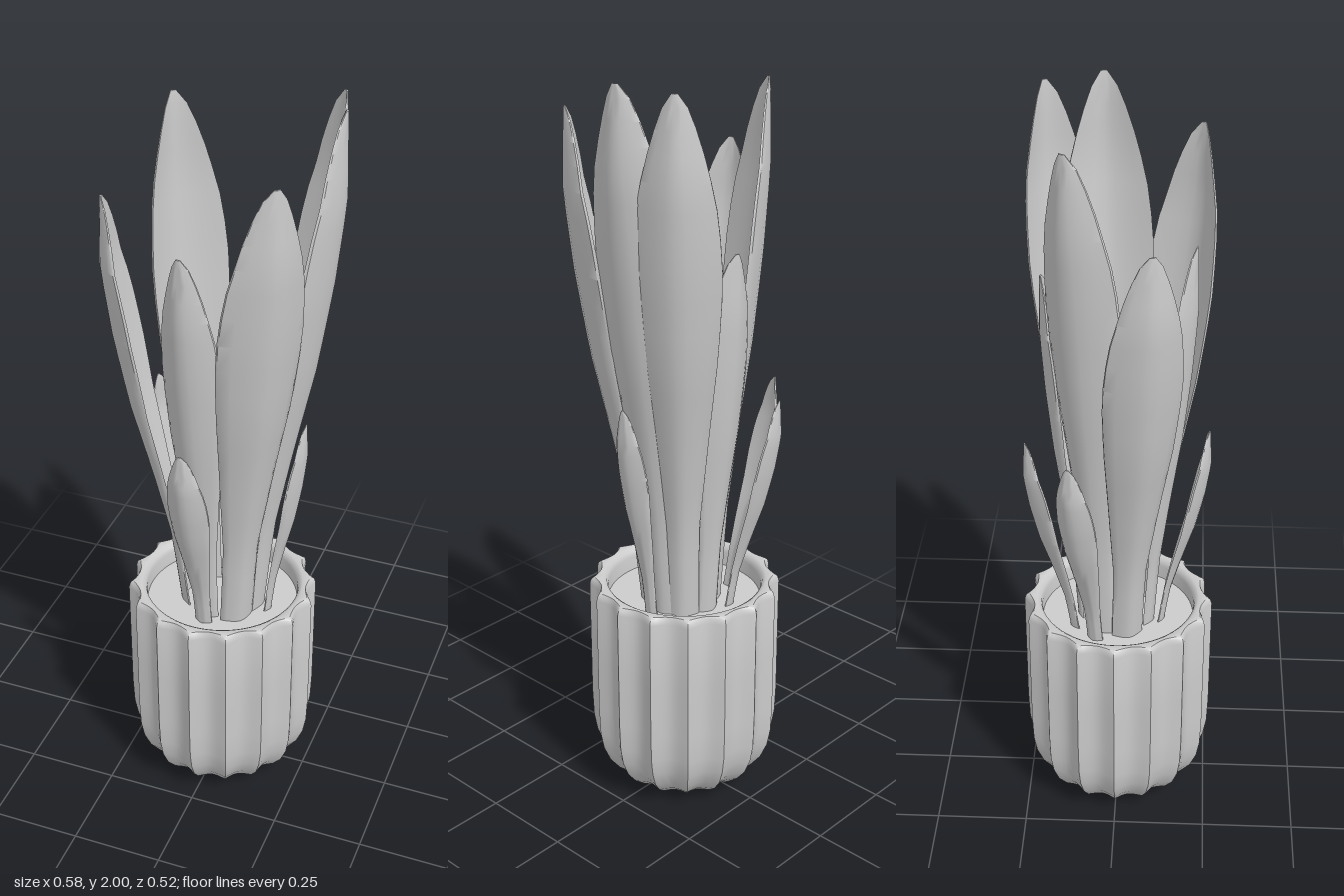
import * as THREE from 'three';
import { toCreasedNormals } from 'three/addons/utils/BufferGeometryUtils.js';

const SOIL = 0.55;
const FLUTES = 16;
const grey = new THREE.MeshStandardMaterial({ color: 0xcccccc });

// Linear lookup in a list of [t, value] pairs
function sample(table, t) {
  for (let i = 1; i < table.length; i++) {
    const [t0, a] = table[i - 1], [t1, b] = table[i];
    if (t <= t1) return a + (b - a) * (t - t0) / (t1 - t0);
  }
  return table[table.length - 1][1];
}

// Blade outline: relative width and relative outward lean along the height
const WIDTH = [[0, 0.42], [0.2, 0.44], [0.4, 0.7], [0.55, 0.91], [0.65, 0.99], [0.72, 1], [0.8, 0.91], [0.88, 0.7], [0.94, 0.46], [0.98, 0.26], [1, 0.07]];
const LEAN = [[0, 0], [0.2, 0.15], [0.37, 0.4], [0.54, 0.68], [0.7, 0.87], [0.85, 0.99], [1, 0.95]];

// One channelled blade: closed cross-sections stacked from soil to tip
function leafGeometry({ base, reach, top, width }) {
  const rows = 18, cols = 8, ring = 2 * (cols + 1);
  const pos = [], index = [];
  for (let j = 0; j <= rows; j++) {
    const t = 1 - Math.pow(1 - j / rows, 1.3);
    const w = width * sample(WIDTH, t);
    const keel = base + (reach - base) * sample(LEAN, t);
    const y = SOIL - 0.03 + (top - SOIL + 0.03) * t;
    const thick = 0.004 + 0.07 * w;
    for (let k = 0; k < ring; k++) {
      const inner = k > cols;
      const u = (inner ? ring - 1 - k : k) / cols * 2 - 1;
      const wall = inner ? thick * (1 - 0.6 * u * u) : 0;
      pos.push(u * w / 2, y, keel - 0.27 * w * Math.abs(u) ** 1.6 - wall);
    }
  }
  for (let j = 0; j < rows; j++) {
    for (let k = 0; k < ring; k++) {
      const a = j * ring + k, b = j * ring + (k + 1) % ring;
      index.push(a, b, b + ring, a, b + ring, a + ring);
    }
  }
  // Close the tip and the foot
  for (let k = 0; k < cols; k++) {
    const o = rows * ring, m = ring - 1 - k;
    index.push(o + k, o + k + 1, o + m - 1, o + k, o + m - 1, o + m);
    index.push(k, m - 1, k + 1, k, m, m - 1);
  }
  const g = new THREE.BufferGeometry();
  g.setAttribute('position', new THREE.Float32BufferAttribute(pos, 3));
  g.setIndex(index);
  return toCreasedNormals(g, 0.9);
}

// Fluted outer wall with a rounded foot, rounded lip and smooth inside
function potGeometry() {
  const profile = [[0, 0], [0.13, 0], [0.165, 0.012], [0.2, 0.04], [0.228, 0.075],
    [0.247, 0.12], [0.256, 0.17], [0.259, 0.25], [0.259, 0.4], [0.259, 0.592], [0.255, 0.606],
    [0.246, 0.612], [0.222, 0.612], [0.212, 0.605], [0.208, 0.59], [0.208, 0.5]];
  const g = new THREE.LatheGeometry(profile.map(([r, y]) => new THREE.Vector2(r, y)), FLUTES * 8);
  const p = g.attributes.position;
  for (let i = 0; i < p.count; i++) {
    const x = p.getX(i), z = p.getZ(i), r = Math.hypot(x, z);
    const row = i % profile.length;
    if (row < 1 || row > 11) continue;
    const dip = Math.abs(Math.sin(Math.atan2(x, z) * FLUTES / 2));
    const s = 1 - (row === 11 ? 0.06 : 0.085) * dip;
    p.setXYZ(i, x * s, p.getY(i), z * s);
  }
  return toCreasedNormals(g, 0.75);
}

// Tip position (x, z), top height and greatest width of each blade
const LEAVES = [
  // tall blades
  { name: 'tallLeaf', x: 0.297, z: -0.05, top: 2.0, width: 0.235, base: 0.115 },
  { name: 'tallLeaf', x: 0.25, z: -0.2, top: 1.99, width: 0.215, base: 0.115 },
  { name: 'tallLeaf', x: 0.215, z: 0.212, top: 1.9, width: 0.225, base: 0.115 },
  { name: 'tallLeaf', x: -0.18, z: -0.125, top: 1.96, width: 0.225, base: 0.1 },
  { name: 'tallLeaf', x: -0.288, z: 0.095, top: 1.76, width: 0.2, base: 0.11 },
  // middle blades
  { name: 'middleLeaf', x: -0.04, z: 0.2, top: 1.68, width: 0.17, base: 0.1 },
  { name: 'middleLeaf', x: 0.02, z: -0.2, top: 1.57, width: 0.165, base: 0.11 },
  // short outer blades
  { name: 'shortLeaf', x: -0.025, z: 0.245, top: 1.16, width: 0.115, base: 0.125 },
  { name: 'shortLeaf', x: -0.11, z: -0.24, top: 1.16, width: 0.115, base: 0.135 },
  { name: 'shortLeaf', x: -0.235, z: -0.12, top: 1.16, width: 0.11, base: 0.135 },
  { name: 'shortLeaf', x: 0.235, z: 0.0, top: 1.17, width: 0.1, base: 0.14 },
];

export function createModel() {
  const model = new THREE.Group();
  model.name = 'pottedPlant';
  const add = (name, geometry, parent = model) => {
    const mesh = new THREE.Mesh(geometry, grey);
    mesh.name = name;
    parent.add(mesh);
    return mesh;
  };

  add('pot', potGeometry());
  const soil = add('soil', new THREE.CircleGeometry(0.21, 48));
  soil.rotation.x = -Math.PI / 2;
  soil.position.y = SOIL;

  const leaves = new THREE.Group();
  leaves.name = 'leaves';
  model.add(leaves);
  for (const leaf of LEAVES) {
    const reach = Math.hypot(leaf.x, leaf.z);
    const mesh = add(leaf.name, leafGeometry({ ...leaf, reach }), leaves);
    mesh.rotation.y = Math.atan2(leaf.x, leaf.z);
  }
  return model;
}
